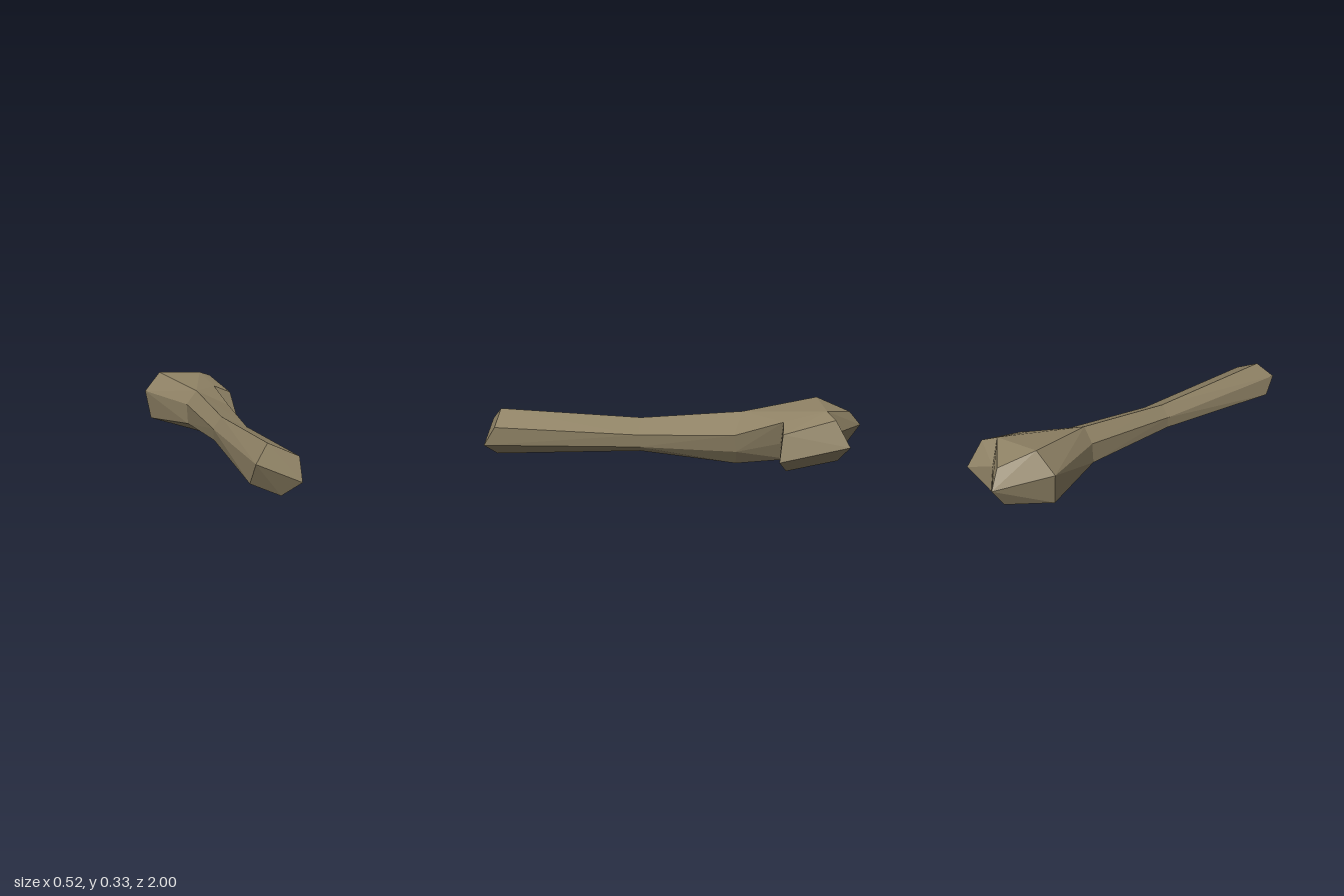
import * as THREE from 'three';
import { ConvexGeometry } from 'three/addons/geometries/ConvexGeometry.js';

export function createModel() {
  const group = new THREE.Group();
  const bone = new THREE.MeshStandardMaterial({ color: 0x8f8265, flatShading: true });
  bone.name = 'agedBone';

  // faceted convex solid from its corner points
  const facet = (name, points) => {
    const mesh = new THREE.Mesh(new ConvexGeometry(points.map(p => new THREE.Vector3(...p))), bone);
    mesh.name = name;
    group.add(mesh);
  };

  // six-sided sections of the shaft, clockwise from the top
  const tip = [
    [-0.06, 0.26, 0.935], [0.088, 0.192, 0.935], [0.08, 0.09, 1],
    [0, 0.023, 0.95], [-0.14, 0.085, 0.94], [-0.133, 0.185, 1],
  ];
  const waist = [
    [-0.045, 0.228, 0.17], [0.09, 0.168, 0.17], [0.08, 0.1, 0.17],
    [0.005, 0.057, 0.17], [-0.085, 0.108, 0.17], [-0.09, 0.168, 0.17],
  ];
  const neck = [
    [-0.037, 0.275, -0.37], [0.14, 0.19, -0.33], [0.12, 0.097, -0.34],
    [0.063, 0.018, -0.34], [-0.09, 0.09, -0.36], [-0.095, 0.2, -0.37],
  ];
  facet('frontShaft', [...tip, ...waist]);
  facet('rearShaft', [...waist, ...neck]);

  // corners where the two knuckles join
  const join = [
    [0.095, 0.315, -0.8], [0.125, 0.262, -0.58],
    [0.06, 0.193, -0.86], [0.04, 0.04, -0.62],
  ];

  // large knuckle, flaring from the neck
  facet('largeKnuckle', [
    ...neck, ...join,
    [-0.165, 0.33, -0.765], [-0.26, 0.225, -0.735], [-0.23, 0.062, -0.72],
    [-0.09, 0.272, -0.935], [-0.13, 0.19, -1], [-0.114, 0.085, -0.925],
  ]);

  // small knuckle on the left side
  facet('smallKnuckle', [
    ...join,
    [0.168, 0.288, -0.84], [0.2, 0.155, -0.915], [0.083, 0.05, -0.865],
    [0.222, 0.222, -0.575], [0.258, 0.085, -0.56], [0.123, 0, -0.6],
    [0.05, 0.155, -0.575],
  ]);

  return group;
}
